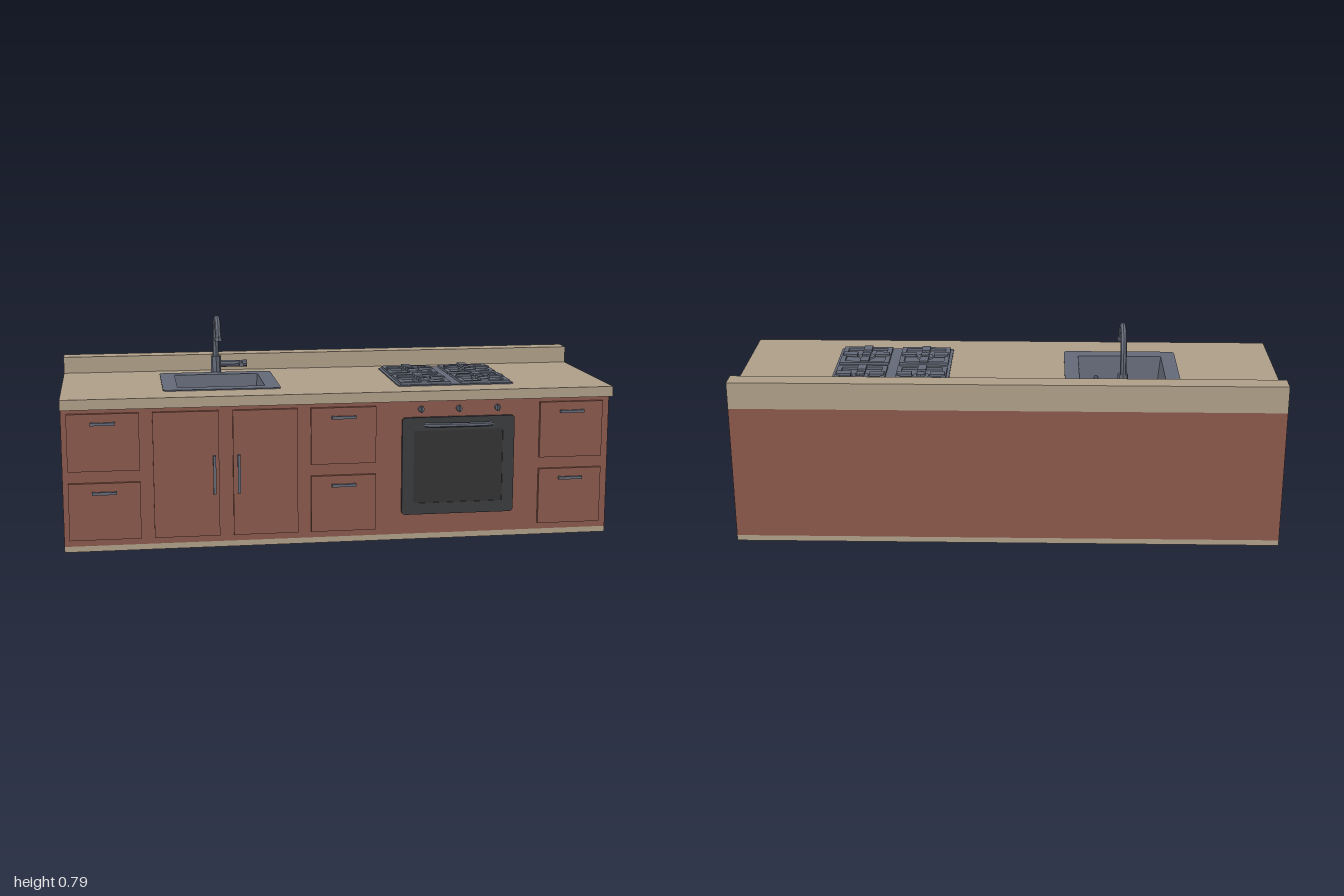
import * as THREE from 'three';

const mat = (name, color, extra = {}) => {
  const m = new THREE.MeshStandardMaterial({ color, flatShading: true, ...extra });
  m.name = name;
  return m;
};

// Rectangular outline, optionally with rounded corners
function rect(Type, cx, cz, w, d, r = 0) {
  const s = new Type(), x0 = cx - w / 2, x1 = cx + w / 2, y0 = -cz - d / 2, y1 = -cz + d / 2;
  s.moveTo(x0 + r, y0).lineTo(x1 - r, y0);
  if (r) s.quadraticCurveTo(x1, y0, x1, y0 + r);
  s.lineTo(x1, y1 - r);
  if (r) s.quadraticCurveTo(x1, y1, x1 - r, y1);
  s.lineTo(x0 + r, y1);
  if (r) s.quadraticCurveTo(x0, y1, x0, y1 - r);
  s.lineTo(x0, y0 + r);
  if (r) s.quadraticCurveTo(x0, y0, x0 + r, y0);
  return s;
}

// Horizontal slab from a plan outline, between two heights
function slab(shape, y0, y1) {
  return new THREE.ExtrudeGeometry(shape, { depth: y1 - y0, bevelEnabled: false, curveSegments: 3 })
    .rotateX(-Math.PI / 2).translate(0, y0, 0);
}

export function createModel() {
  const wood = mat('red brown wood', 0x8a584b);
  const stone = mat('beige stone', 0xae9e88);
  const steel = mat('blue grey steel', 0x636977, { side: THREE.DoubleSide });
  const frameDark = mat('oven frame grey', 0x3a3b3e);
  const glass = mat('oven glass', 0x333333);

  const model = new THREE.Group();
  model.name = 'kitchenCounter';
  const add = (name, geo, material, parent = model) => {
    const m = new THREE.Mesh(geo, material);
    m.name = name;
    parent.add(m);
    return m;
  };
  const box = (name, x0, x1, y0, y1, z0, z1, material, parent) =>
    add(name, new THREE.BoxGeometry(x1 - x0, y1 - y0, z1 - z0)
      .translate((x0 + x1) / 2, (y0 + y1) / 2, (z0 + z1) / 2), material, parent);

  const W = 1.988, BACK = -0.332, FACE = 0.29, TOP = 0.557;
  const sink = { x: -0.42, z: 0.011, w: 0.316, d: 0.276 };
  const hole = () => rect(THREE.Path, sink.x, sink.z, sink.w + 0.006, sink.d + 0.006);

  // Cabinet body, plinth, worktop and backsplash
  const bodyShape = rect(THREE.Shape, 0, (FACE + BACK) / 2, W, FACE - BACK);
  bodyShape.holes.push(hole());
  add('cabinetBody', slab(bodyShape, 0.021, 0.52), wood);
  box('plinth', -W / 2, W / 2, 0, 0.021, BACK, FACE, stone);
  const topShape = rect(THREE.Shape, 0, 0, W, 0.664);
  topShape.holes.push(hole());
  add('worktop', slab(topShape, 0.52, TOP), stone);
  box('backsplash', -W / 2, W / 2, TOP, 0.619, BACK, -0.259, stone);

  // Bar handle on two posts, horizontal or vertical
  function handle(x, y, length, vertical) {
    const g = new THREE.Group();
    g.name = 'handle';
    const h = length / 2, t = 0.005;
    box('handleBar', -h, h, -t, t, 0.309, 0.317, steel, g);
    for (const s of [-1, 1]) box('handlePost', s * (h - t) - t, s * (h - t) + t, -t, t, 0.302, 0.31, steel, g);
    g.position.set(x, y, 0);
    if (vertical) g.rotation.z = Math.PI / 2;
    model.add(g);
  }

  // Three stacks of two drawers
  for (const [x0, x1] of [[-0.975, -0.722], [-0.112, 0.124], [0.732, 0.967]]) {
    for (const y of [0.045, 0.294]) {
      box('drawerFront', x0, x1, y, y + 0.206, FACE - 0.005, 0.303, wood);
      handle((x0 + x1) / 2, y + 0.171, 0.088, false);
    }
  }
  // Pair of doors below the sink
  for (const [x0, x1, hx] of [[-0.675, -0.442, -0.459], [-0.392, -0.16, -0.372]]) {
    box('cabinetDoor', x0, x1, 0.045, 0.5, FACE - 0.005, 0.303, wood);
    handle(hx, 0.27, 0.14, true);
  }

  // Oven door with window, handle and knobs
  const ox = 0.428, oy = 0.275;
  const ovenShape = rect(THREE.Shape, ox, -oy, 0.416, 0.36, 0.014);
  ovenShape.holes.push(rect(THREE.Path, ox, -0.272, 0.33, 0.268));
  add('ovenFrame', new THREE.ExtrudeGeometry(ovenShape, { depth: 0.013, bevelEnabled: false, curveSegments: 3 })
    .translate(0, 0, FACE - 0.001), frameDark);
  box('ovenWindow', ox - 0.166, ox + 0.166, 0.137, 0.407, FACE, 0.299, glass);
  const barPath = new THREE.CatmullRomCurve3([[-0.125, 0.3], [-0.11, 0.309], [0, 0.312], [0.11, 0.309], [0.125, 0.3]]
    .map(([x, z]) => new THREE.Vector3(ox + x, 0.427, z)));
  add('ovenHandle', new THREE.TubeGeometry(barPath, 12, 0.008, 6), steel);
  for (const kx of [0.29, 0.43, 0.573]) {
    add('knobBase', new THREE.CylinderGeometry(0.011, 0.011, 0.012, 10).rotateX(Math.PI / 2)
      .translate(kx, 0.485, 0.296), steel);
    box('knobGrip', kx - 0.003, kx + 0.003, 0.473, 0.497, 0.3, 0.312, steel);
  }

  // Sink: rim, tapered bowl with a floor falling to the drain
  const rim = rect(THREE.Shape, sink.x, sink.z, 0.424, 0.388, 0.02);
  rim.holes.push(rect(THREE.Path, sink.x, sink.z, sink.w, sink.d));
  add('sinkRim', slab(rim, TOP - 0.001, 0.561), steel);
  const bowlProfile = [[0.02, 0.458], [0.94, 0.47], [1, 0.561]]
    .map(([r, y]) => new THREE.Vector2(r * Math.SQRT2, y));
  const bowl = new THREE.LatheGeometry(bowlProfile, 4, Math.PI / 4).scale(sink.w / 2, 1, sink.d / 2);
  add('sinkBowl', bowl.translate(sink.x, 0, sink.z), steel);
  add('sinkDrain', new THREE.CylinderGeometry(0.022, 0.022, 0.008, 12)
    .translate(sink.x, 0.459, sink.z), steel);

  // Faucet: base, curved spout, nozzle, side valve and lever
  const fx = -0.414, fz = -0.21;
  add('faucetBase', new THREE.CylinderGeometry(0.019, 0.019, 0.064, 8).translate(fx, 0.588, fz), steel);
  const spout = new THREE.CurvePath();
  const pts = [[-0.217, 0.6], [-0.217, 0.68], [-0.206, 0.727], [-0.175, 0.762], [-0.133, 0.774],
    [-0.092, 0.758], [-0.065, 0.708]].map(([z, y]) => new THREE.Vector3(fx, y, z));
  for (let i = 1; i < pts.length; i++) spout.add(new THREE.LineCurve3(pts[i - 1], pts[i]));
  const smooth = new THREE.CatmullRomCurve3(pts);
  add('faucetSpout', new THREE.TubeGeometry(smooth, 12, 0.0115, 8), steel);
  add('faucetNozzle', new THREE.CylinderGeometry(0.013, 0.016, 0.014, 8).translate(fx, 0.705, -0.063), steel);
  add('faucetValve', new THREE.CylinderGeometry(0.013, 0.013, 0.12, 8).rotateZ(Math.PI / 2)
    .translate(fx + 0.06, 0.588, -0.217), steel);
  add('faucetLever', new THREE.CylinderGeometry(0.009, 0.009, 0.05, 8).rotateX(Math.PI / 2)
    .translate(fx + 0.095, 0.589, -0.19), steel);

  // Hob plate with four burners
  const hx = 0.435, hz = 0.014;
  add('hobPlate', slab(rect(THREE.Shape, hx, hz, 0.432, 0.418, 0.015), TOP - 0.001, 0.561), steel);
  for (const sx of [-1, 1]) for (const sz of [-1, 1]) {
    const g = new THREE.Group();
    g.name = 'burner';
    g.position.set(hx + sx * 0.112, 0, hz + sz * 0.108);
    const frame = rect(THREE.Shape, 0, 0, 0.186, 0.182);
    frame.holes.push(rect(THREE.Path, 0, 0, 0.15, 0.146));
    add('grateFrame', slab(frame, 0.56, 0.57), steel, g);
    for (let i = 0; i < 4; i++) {
      const arm = new THREE.Group();
      arm.name = 'grateArm';
      arm.rotation.y = i * Math.PI / 2;
      box('grateFinger', 0.034, 0.088, 0.566, 0.576, -0.016, 0.016, steel, arm);
      g.add(arm);
    }
    add('burnerRing', new THREE.CylinderGeometry(0.03, 0.034, 0.006, 12).translate(0, 0.563, 0), steel, g);
    add('burnerCap', new THREE.CylinderGeometry(0.017, 0.017, 0.012, 10).translate(0, 0.569, 0), steel, g);
    model.add(g);
  }

  // The whole unit stands at a slight turn
  model.rotation.y = -0.0178;
  const root = new THREE.Group();
  root.name = 'kitchenUnit';
  root.add(model);
  return root;
}
